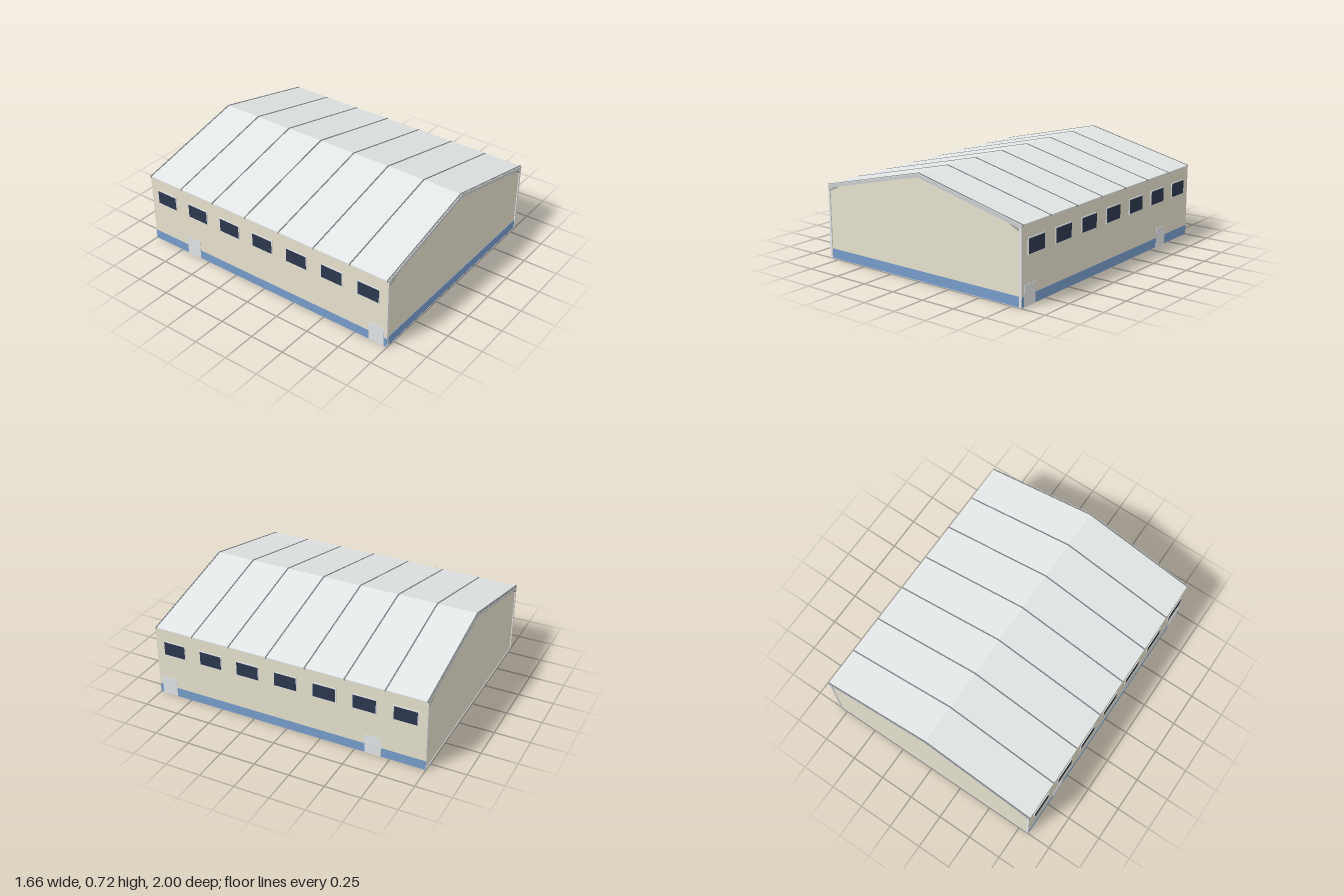
import * as THREE from 'three';

const mat = (name, color) => new THREE.MeshStandardMaterial({ name, color });

export function createModel() {
  const group = new THREE.Group();
  const beige = mat('wall beige', 0xe6e1cd);
  const blue = mat('plinth blue', 0x779cca);
  const roofGrey = mat('roof grey', 0xe2e6e6);
  const pale = mat('pale grey', 0xe3e6e9);
  const steel = mat('steel grey', 0xcbcdd0);
  const brace = mat('brace grey', 0xa4a6a8);
  const dark = mat('seam dark grey', 0x7c8082);
  const glass = mat('window navy', 0x2d384d);
  const floorGrey = mat('floor grey', 0xcdcfd1);

  const add = (name, geo, material, x = 0, y = 0, z = 0) => {
    const mesh = new THREE.Mesh(geo, material);
    mesh.name = name;
    mesh.position.set(x, y, z);
    group.add(mesh);
    return mesh;
  };
  // Box given by its lower and upper corners
  const box = (name, material, x0, x1, y0, y1, z0, z1) =>
    add(name, new THREE.BoxGeometry(x1 - x0, y1 - y0, z1 - z0), material,
      (x0 + x1) / 2, (y0 + y1) / 2, (z0 + z1) / 2);
  // Cross-section in x and y, extruded from z0 to z1
  const prism = (name, material, points, z0, z1) => {
    const shape = new THREE.Shape(points.map(([x, y]) => new THREE.Vector2(x, y)));
    const geo = new THREE.ExtrudeGeometry(shape, { depth: z1 - z0, bevelEnabled: false });
    return add(name, geo, material, 0, 0, z0);
  };
  // Pitched band of vertical thickness t
  const chevron = (w, eave, ridge, t) =>
    [[-w, eave - t], [0, ridge - t], [w, eave - t], [w, eave], [0, ridge], [-w, eave]];

  // Floor slab and gabled hall
  box('floor', floorGrey, -0.823, 0.823, 0, 0.003, -0.998, 0.998);
  prism('hall', beige, [[-0.806, 0.003], [0.806, 0.003], [0.806, 0.512], [0, 0.705], [-0.806, 0.512]], -0.993, 0.993);
  box('frontPlinth', blue, -0.806, 0.806, 0.003, 0.07, 0.993, 0.996);

  // Roof with eight raised seams
  prism('roof', roofGrey, chevron(0.825, 0.522, 0.717, 0.008), -0.998, 0.998);
  for (let i = 0; i < 8; i++) {
    const z = -0.994 + i * 0.2835;
    prism('roofSeam', dark, chevron(0.826, 0.524, 0.72, 0.012), z - 0.0045, z + 0.0045);
  }

  // Gable rafters
  for (const end of [-1, 1]) {
    const z = end * 0.996;
    prism('gableRafter', steel, chevron(0.822, 0.519, 0.714, 0.023), z - 0.004, z + 0.004);
  }

  for (const side of [-1, 1]) {
    const sideBox = (name, material, x0, x1, y0, y1, z0, z1) =>
      box(name, material, Math.min(side * x0, side * x1), Math.max(side * x0, side * x1), y0, y1, z0, z1);

    // Side wall and plinth
    sideBox('sideWall', beige, 0.806, 0.823, 0.003, 0.515, -0.998, 0.998);
    sideBox('sidePlinth', blue, 0.822, 0.8245, 0.003, 0.07, -0.998, 0.998);

    // Corner columns and knee braces
    for (const end of [-1, 1]) {
      const z = end * 0.9985;
      sideBox('cornerColumn', pale, 0.806, 0.823, 0.003, 0.515, z - 0.001, z + 0.001);
      const knee = add('kneeBrace', new THREE.BoxGeometry(0.085, 0.012, 0.01), brace,
        side * 0.774, 0.5, end * 0.9945);
      knee.rotation.z = -side * 0.45;
    }

    // Low hatches
    for (const z of [0.917, -0.63])
      sideBox('hatch', pale, 0.822, 0.8258, 0.003, 0.14, z - 0.058, z + 0.058);

    // Row of seven framed windows
    for (let i = -3; i <= 3; i++) {
      const z = i * 0.284;
      sideBox('windowFrame', pale, 0.82, 0.828, 0.322, 0.43, z - 0.086, z + 0.086);
      sideBox('windowPane', glass, 0.825, 0.83, 0.328, 0.424, z - 0.08, z + 0.08);
    }
  }
  return group;
}
